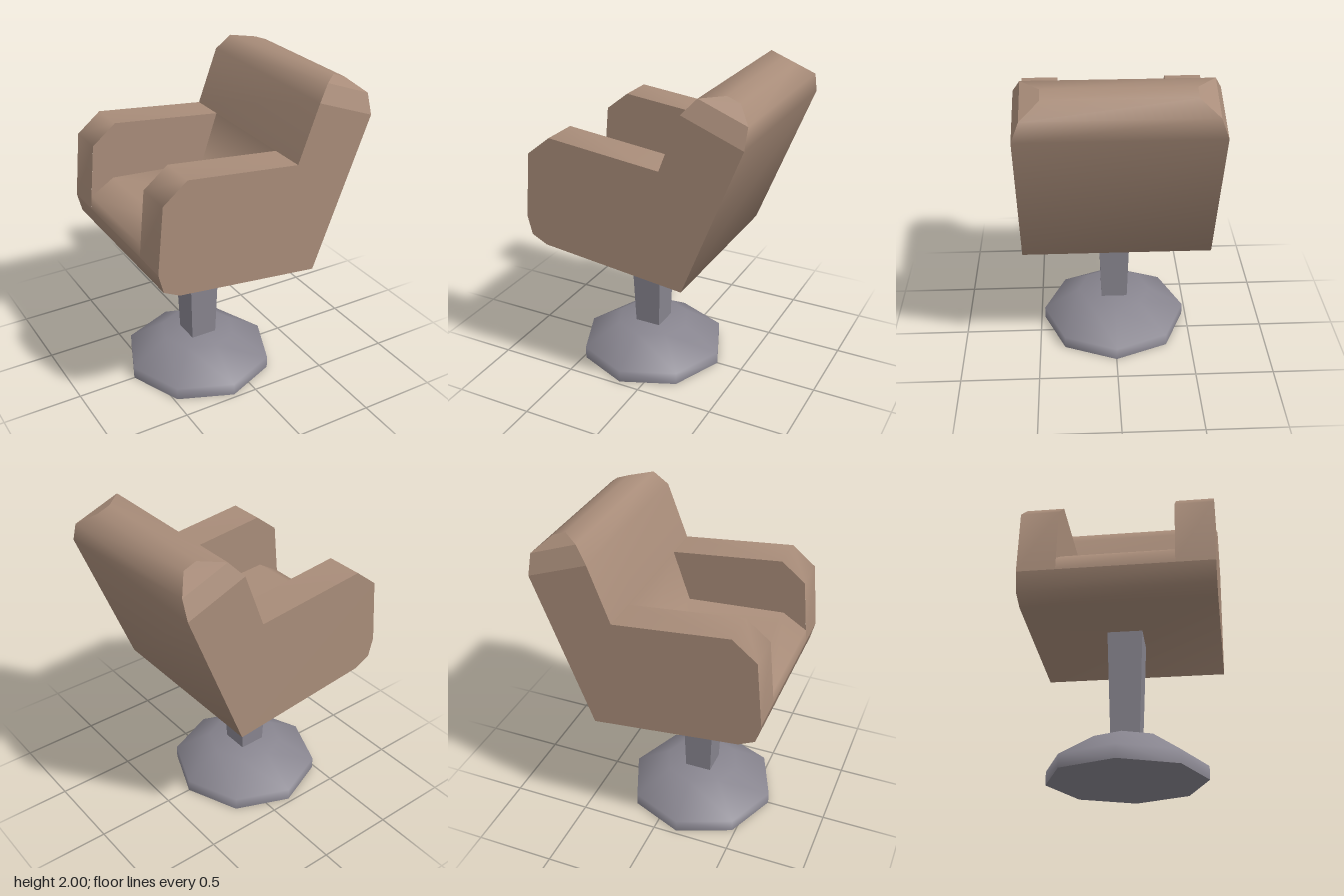
import * as THREE from 'three';
import { mergeGeometries } from 'three/addons/utils/BufferGeometryUtils.js';

const HALF = 0.575; // half width of the chair
const INNER = 0.345; // inner face of the armrests

// Smooth band following a side profile; each point is [x, y, zMin, zMax]
function band(points) {
  const position = [], index = [];
  points.forEach(([x, y, z0, z1], i) => {
    position.push(x, y, z0, x, y, z1);
    if (i) {
      const a = 2 * i - 2;
      index.push(a, a + 1, a + 3, a, a + 3, a + 2);
    }
  });
  const geo = new THREE.BufferGeometry();
  geo.setAttribute('position', new THREE.Float32BufferAttribute(position, 3));
  geo.setIndex(index);
  geo.computeVertexNormals();
  return geo;
}

// Flat convex face from 3D corners
function facet(corners) {
  const geo = new THREE.BufferGeometry().setFromPoints(corners.map((c) => new THREE.Vector3(...c)));
  const index = [];
  for (let i = 1; i < corners.length - 1; i++) index.push(0, i, i + 1);
  geo.setIndex(index);
  const flat = geo.toNonIndexed();
  flat.computeVertexNormals();
  return flat;
}

// Flat side wall at height z, facing +z or -z
function wall(points, z, facing) {
  const shape = new THREE.Shape(points.map(([x, y]) => new THREE.Vector2(x, y)));
  const geo = new THREE.ShapeGeometry(shape);
  geo.deleteAttribute('uv');
  geo.translate(0, 0, z);
  return facing > 0 ? geo.toNonIndexed() : flip(geo);
}

// Reverse the corner order so that the face points the other way
function flip(source) {
  const geo = source.index ? source.toNonIndexed() : source.clone();
  const p = geo.attributes.position;
  const a = new THREE.Vector3(), b = new THREE.Vector3();
  for (let i = 0; i < p.count; i += 3) {
    a.fromBufferAttribute(p, i);
    b.fromBufferAttribute(p, i + 1);
    p.setXYZ(i, b.x, b.y, b.z);
    p.setXYZ(i + 1, a.x, a.y, a.z);
  }
  geo.computeVertexNormals();
  return geo;
}

const mirrorZ = (geo) => flip(geo.clone().scale(1, 1, -1));

export function createModel() {
  const model = new THREE.Group();
  const upholstery = new THREE.MeshStandardMaterial({ color: 0xa88c79 });
  upholstery.name = 'brownUpholstery';
  const metal = new THREE.MeshStandardMaterial({ color: 0x88858f });
  metal.name = 'greyMetal';

  const add = (name, geo, material) => {
    const mesh = new THREE.Mesh(geo, material);
    mesh.name = name;
    model.add(mesh);
    return mesh;
  };

  // Side profile of the armrest and of the seat, front to back
  const armTop = [[-0.70, 1.11], [-0.66, 1.52], [-0.51, 1.64], [0.20, 1.565]];
  const seatTop = [[-0.692, 1.19], [-0.54, 1.285], [0.09, 1.245], [0.20, 1.565]];
  const underside = [[0.70, 1.77], [0.34, 0.84], [-0.57, 0.94], [-0.67, 0.99], [-0.70, 1.11]];

  // Shell: backrest front, crowned top, back and underside in one band
  const spread = ([x, y, h = HALF]) => [x, y, -h, h];
  add('backrestShell', band([
    [0.20, 1.565], [0.33, 1.91], [0.41, 2.0, 0.53], [0.53, 2.0, 0.42],
    [0.61, 1.97, 0.42], [0.70, 1.89, 0.53], ...underside,
  ].map(spread)), upholstery);

  // Bevelled ends of the backrest top
  const bevel = facet([[0.33, 1.91, HALF], [0.70, 1.77, HALF], [0.70, 1.89, 0.53], [0.41, 2.0, 0.53]]);
  const crown = facet([[0.41, 2.0, 0.53], [0.70, 1.89, 0.53], [0.61, 1.97, 0.42], [0.53, 2.0, 0.42]]);
  const ends = mergeGeometries([bevel, crown]);
  add('leftBackrestEnd', ends, upholstery);
  add('rightBackrestEnd', mirrorZ(ends), upholstery);

  // Seat with its chamfered front and the lower backrest
  add('seat', band([[-0.70, 1.11], ...seatTop].map(([x, y]) => [x, y, -INNER, INNER])), upholstery);

  // Armrests: padded top, outer side and inner wall
  const outer = wall([...armTop, [0.33, 1.91], ...underside.slice(0, -1)], HALF, 1);
  const inner = wall([...seatTop, armTop[2], armTop[1]], INNER, -1);
  for (const side of [1, -1]) {
    const arm = new THREE.Group();
    arm.name = side > 0 ? 'leftArmrest' : 'rightArmrest';
    const z = side > 0 ? [INNER, HALF] : [-HALF, -INNER];
    const parts = {
      armPad: band(armTop.map(([x, y]) => [x, y, ...z])),
      outerSide: side > 0 ? outer : mirrorZ(outer),
      innerSide: side > 0 ? inner : mirrorZ(inner),
    };
    for (const [name, geo] of Object.entries(parts)) {
      const mesh = new THREE.Mesh(geo, upholstery);
      mesh.name = name;
      arm.add(mesh);
    }
    model.add(arm);
  }

  // Square tapered pillar
  const pillarGeo = new THREE.CylinderGeometry(0.108 * Math.SQRT2, 0.085 * Math.SQRT2, 0.74, 4, 1).toNonIndexed();
  pillarGeo.computeVertexNormals();
  pillarGeo.rotateY(Math.PI / 4);
  add('pillar', pillarGeo, metal).position.set(-0.145, 0.59, 0);

  // Eight-sided foot with a sloped top
  const profile = [[0.475, 0], [0.475, 0.08], [0.24, 0.23], [0, 0.23]].map(([r, y]) => new THREE.Vector2(r, y));
  add('foot', new THREE.LatheGeometry(profile, 8), metal).position.x = -0.145;
  const sole = add('footSole', new THREE.CircleGeometry(0.475, 8), metal);
  sole.rotation.x = Math.PI / 2;
  sole.position.x = -0.145;

  return model;
}
